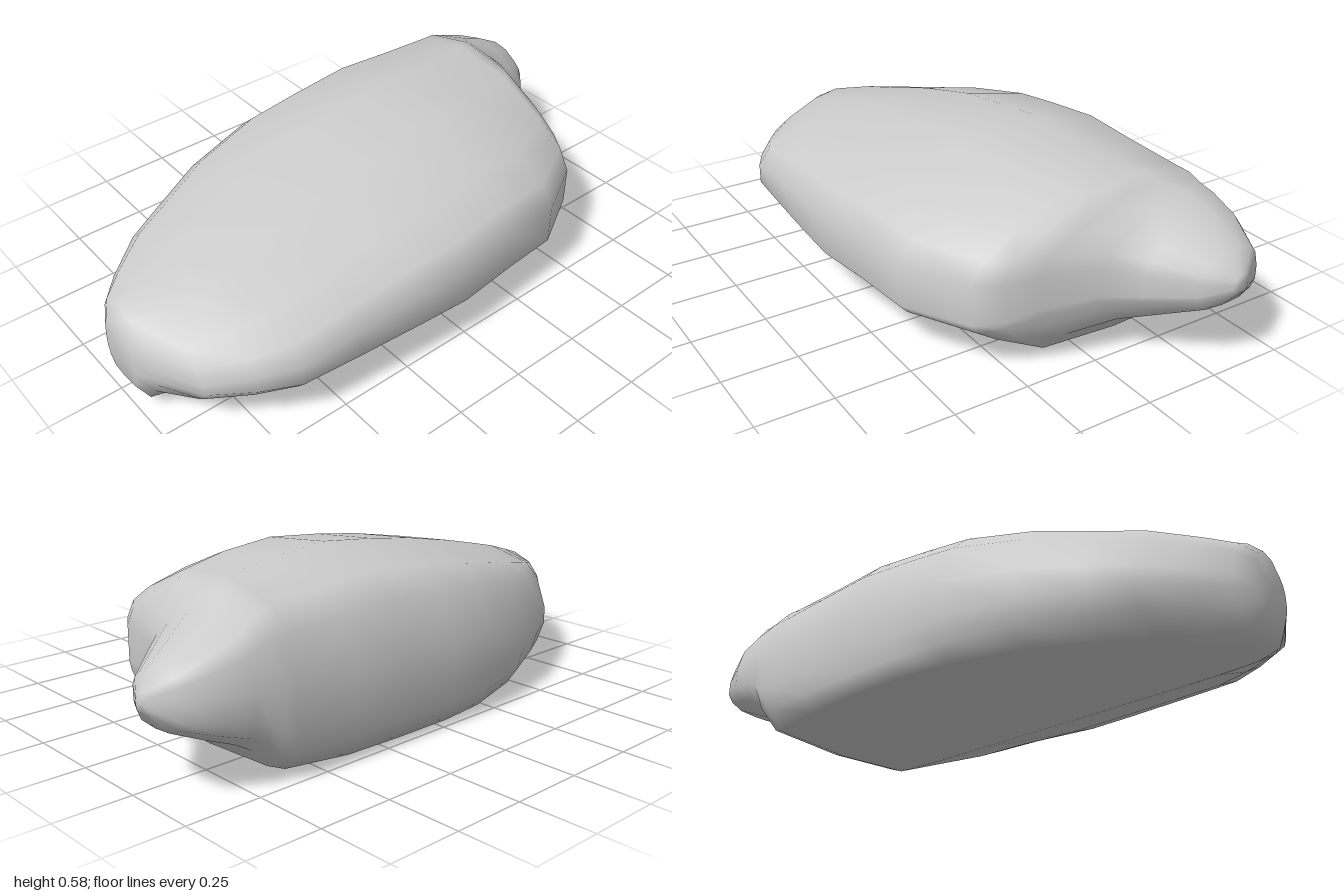
import * as THREE from 'three';

const { lerp } = THREE.MathUtils;

// Upper outline from right wall over the crest to left wall: u across (-1..1), v up (0..1)
const CROWN = [
  [1, 0.54], [0.9, 0.67], [0.67, 0.79], [0.24, 0.95],
  [-0.28, 1], [-0.74, 0.91], [-0.89, 0.78], [-1, 0.52],
];

// Cross-sections from nose to tail: z, left x, right x, bottom, top, left end of the flat underside
const SECTIONS = [
  [1.0, -0.04, 0.13, 0.09, 0.305, -0.01],
  [0.965, -0.11, 0.19, 0.035, 0.335, -0.05],
  [0.89, -0.2, 0.33, 0.012, 0.36, -0.11],
  [0.76, -0.31, 0.42, 0.006, 0.40, -0.22],
  [0.64, -0.37, 0.48, 0.004, 0.43, -0.29],
  [0.44, -0.46, 0.495, 0.002, 0.48, -0.4],
  [0.2, -0.515, 0.51, 0, 0.53, -0.47],
  [0.02, -0.52, 0.52, 0, 0.555, -0.49],
  [-0.2, -0.52, 0.5, 0, 0.58, -0.49],
  [-0.4, -0.52, 0.48, 0, 0.565, -0.48],
  [-0.61, -0.51, 0.36, 0.006, 0.55, -0.44],
  [-0.66, -0.51, 0.28, 0.025, 0.54, -0.42],
  [-0.7, -0.5, 0.18, 0.08, 0.515, -0.4],
  [-0.75, -0.495, 0.0, 0.11, 0.485, -0.39],
  [-0.84, -0.48, -0.09, 0.15, 0.445, -0.39],
  [-0.95, -0.43, -0.2, 0.2, 0.385, -0.37],
  [-1.0, -0.345, -0.29, 0.26, 0.32, -0.33],
];

// One closed ring, counter-clockwise seen from the front
function ring([z, x0, x1, y0, y1, flat0]) {
  const base = lerp(y0, y1, 0.03);
  const flat1 = Math.min(0.13, lerp(x0, x1, 0.85));
  const wide = Math.max(0.165, lerp(y0, y1, 0.3)); // height of the widest line
  const points = [
    [flat0, base],
    [lerp(flat0, flat1, 0.5), y0],
    [flat1, base],
    [lerp(flat1, x1, 0.6), lerp(base, wide, 0.47)],
    [lerp(flat1, x1, 0.92), lerp(base, wide, 0.8)],
    [x1, wide],
    ...CROWN.map(([u, v]) => [lerp(x0, x1, (u + 1) / 2), lerp(y0, y1, v)]),
    [x0, lerp(base, wide, 0.9)],
    [lerp(x0, flat0, 0.3), lerp(base, wide, 0.4)],
  ];
  return points.map(([x, y]) => [x, y, z]);
}

function loft(rings) {
  const n = rings[0].length;
  const last = rings.length - 1;
  const pos = rings.flat(2);
  const index = [];
  for (let i = 0; i < last; i++) {
    for (let j = 0; j < n; j++) {
      const a = i * n + j, b = i * n + (j + 1) % n, c = a + n, d = b + n;
      index.push(a, c, b, b, c, d);
    }
  }
  // close both ends with a fan around the ring's middle
  for (const end of [0, last]) {
    const centre = pos.length / 3;
    for (let k = 0; k < 3; k++) pos.push(rings[end].reduce((s, p) => s + p[k], 0) / n);
    for (let j = 0; j < n; j++) {
      const a = end * n + j, b = end * n + (j + 1) % n;
      if (end === 0) index.push(centre, a, b);
      else index.push(centre, b, a);
    }
  }
  const geo = new THREE.BufferGeometry();
  geo.setAttribute('position', new THREE.Float32BufferAttribute(pos, 3));
  geo.setIndex(index);
  geo.computeVertexNormals();
  return geo;
}

export function createModel() {
  const group = new THREE.Group();
  group.name = 'rock';
  const material = new THREE.MeshStandardMaterial({ color: 0xcccccc });
  const stone = new THREE.Mesh(loft(SECTIONS.map(ring)), material);
  stone.name = 'stone';
  group.add(stone);
  return group;
}
